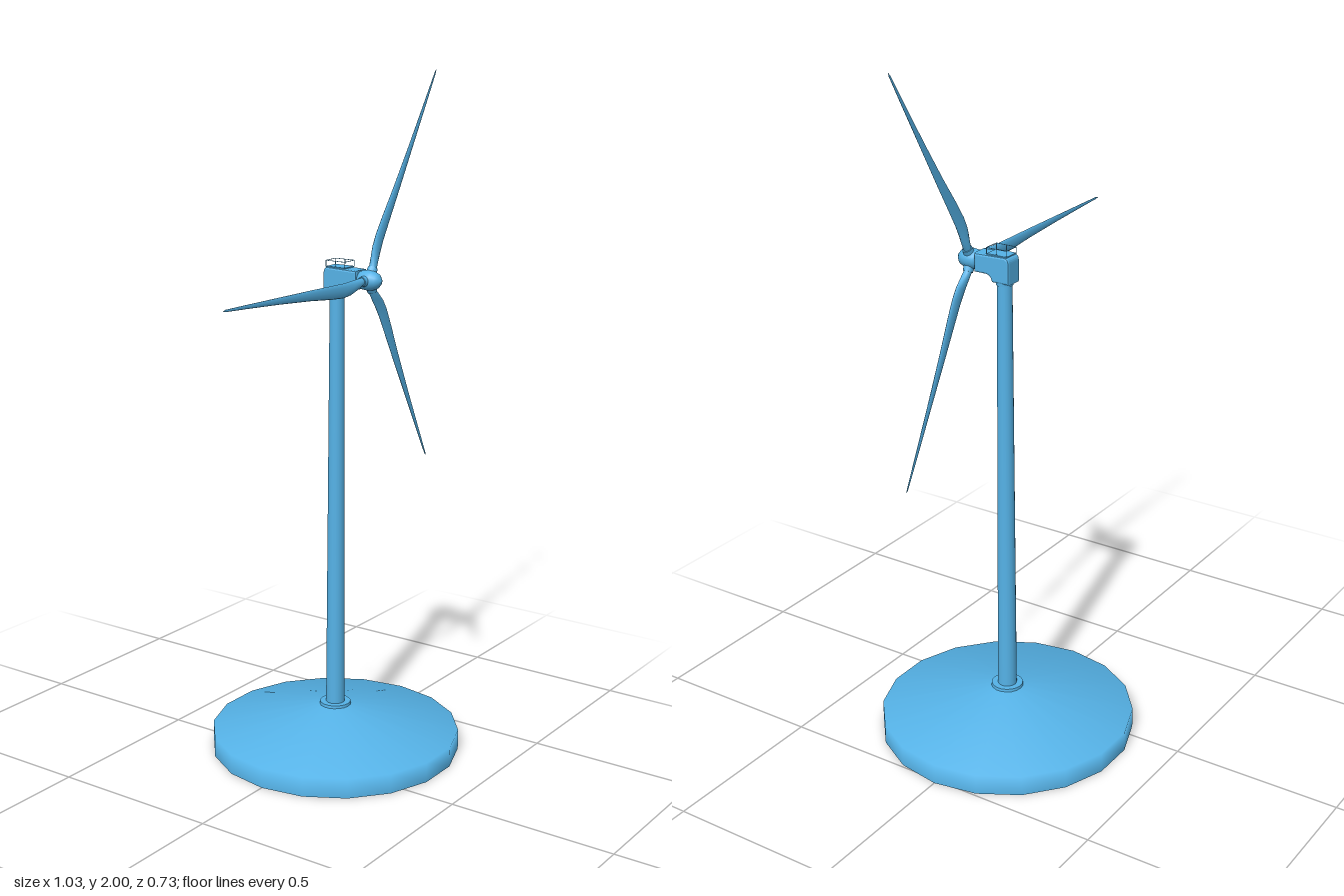
import * as THREE from 'three';

const AXIS_X = 0.1425, HUB_Y = 1.435, HUB_Z = 0.108;

// Lathe from [radius, height] pairs
function lathe(points, sides) {
  return new THREE.LatheGeometry(points.map(([r, y]) => new THREE.Vector2(r, y)), sides);
}

// Blade along +x, lofted through oval sections: [radius, leading y, trailing y, half thickness]
function bladeGeometry() {
  const sections = [
    [0.01, -0.011, 0.011, 0.011],
    [0.04, -0.011, 0.012, 0.011],
    [0.065, -0.010, 0.022, 0.010],
    [0.09, -0.008, 0.031, 0.008],
    [0.125, -0.006, 0.035, 0.0065],
    [0.18, -0.006, 0.032, 0.0055],
    [0.28, -0.006, 0.023, 0.0045],
    [0.42, -0.005, 0.014, 0.003],
    [0.56, -0.004, 0.007, 0.002],
    [0.65, -0.003, 0.003, 0.001],
    [0.66, -0.0005, 0.0005, 0.0004],
  ];
  const n = 12, pos = [], index = [];
  sections.forEach(([x, lead, trail, half], i) => {
    for (let j = 0; j < n; j++) {
      const a = (j / n) * Math.PI * 2;
      pos.push(x, (lead + trail) / 2 + Math.cos(a) * (trail - lead) / 2, Math.sin(a) * half);
      if (i === sections.length - 1) continue;
      const k = (j + 1) % n, p = i * n, q = p + n;
      index.push(p + j, p + k, q + j, p + k, q + k, q + j);
    }
  });
  const g = new THREE.BufferGeometry();
  g.setAttribute('position', new THREE.Float32BufferAttribute(pos, 3));
  g.setIndex(index);
  g.computeVertexNormals();
  return g;
}

export function createModel() {
  const model = new THREE.Group();
  model.name = 'windTurbine';
  const blue = new THREE.MeshStandardMaterial({ color: 0x56b4e9 });
  blue.name = 'sky blue';

  function add(name, geometry, parent, x = 0, y = 0, z = 0) {
    const mesh = new THREE.Mesh(geometry, blue);
    mesh.name = name;
    mesh.position.set(x, y, z);
    parent.add(mesh);
    return mesh;
  }

  const turbine = new THREE.Group();
  turbine.name = 'turbine';
  turbine.position.x = AXIS_X;
  model.add(turbine);

  // Conical foundation: flat underside, then rim and cone
  const R = 0.372;
  add('foundationUnderside', lathe([[0, 0], [R, 0]], 18).rotateY(Math.PI / 2), turbine);
  add('foundation', lathe([[R, 0], [R, 0.06], [0.045, 0.134], [0, 0.136]], 18).rotateY(Math.PI / 2), turbine);

  // Tower and its collars
  add('towerFlange', new THREE.CylinderGeometry(0.046, 0.048, 0.016, 18), turbine, 0, 0.134, 0);
  add('tower', new THREE.CylinderGeometry(0.021, 0.028, 1.27, 18), turbine, 0, 0.765, 0);
  add('yawCollar', new THREE.CylinderGeometry(0.025, 0.024, 0.022, 18), turbine, 0, 1.391, 0);

  // Nacelle: side profile in (z, y), curving from the tower forward to the hub
  const s = new THREE.Shape();
  s.moveTo(-0.024, 1.394);
  s.lineTo(0.02, 1.394);
  s.quadraticCurveTo(0.026, 1.414, 0.046, 1.414);
  s.lineTo(0.076, 1.414);
  s.lineTo(0.076, 1.456);
  s.lineTo(-0.014, 1.459);
  s.quadraticCurveTo(-0.024, 1.459, -0.024, 1.448);
  s.closePath();
  const nacelle = new THREE.ExtrudeGeometry(s, {
    depth: 0.044, bevelEnabled: true, bevelSize: 0.006, bevelThickness: 0.006, bevelSegments: 2, curveSegments: 6,
  });
  nacelle.translate(0, 0, -0.022).rotateY(-Math.PI / 2);
  add('nacelle', nacelle, turbine);

  // Service deck with a thin railing
  const deck = new THREE.Group();
  deck.name = 'serviceDeck';
  deck.position.set(0, 1.465, 0.01);
  turbine.add(deck);
  const w = 0.048, d = 0.064, h = 0.018, t = 0.0015;
  add('deckPlate', new THREE.BoxGeometry(w, 0.003, d), deck);
  for (const side of [-1, 1]) {
    add('sideRail', new THREE.BoxGeometry(t, t, d), deck, side * w / 2, h, 0);
    add('endRail', new THREE.BoxGeometry(w, t, t), deck, 0, h, side * d / 2);
    for (const k of [-1, 0, 1]) {
      add('railPost', new THREE.BoxGeometry(t, h, t), deck, side * w / 2, h / 2, k * d / 2);
    }
  }

  // Rotor: spinner with three blades
  const rotor = new THREE.Group();
  rotor.name = 'rotor';
  rotor.position.set(0, HUB_Y, HUB_Z);
  turbine.add(rotor);
  const spinner = lathe([[0, -0.032], [0.022, -0.032], [0.027, -0.02], [0.029, 0], [0.027, 0.015],
    [0.021, 0.029], [0.011, 0.038], [0, 0.041]], 18);
  add('spinner', spinner.rotateX(Math.PI / 2), rotor);
  const blade = bladeGeometry();
  const socket = new THREE.CylinderGeometry(0.014, 0.016, 0.022, 14).rotateZ(-Math.PI / 2);
  for (let i = 0; i < 3; i++) {
    const arm = new THREE.Group();
    arm.name = 'bladeArm';
    arm.rotation.z = THREE.MathUtils.degToRad(58.9 + i * 120);
    add('bladeSocket', socket, arm, 0.027, 0, 0);
    add('blade', blade, arm);
    rotor.add(arm);
  }
  return model;
}
